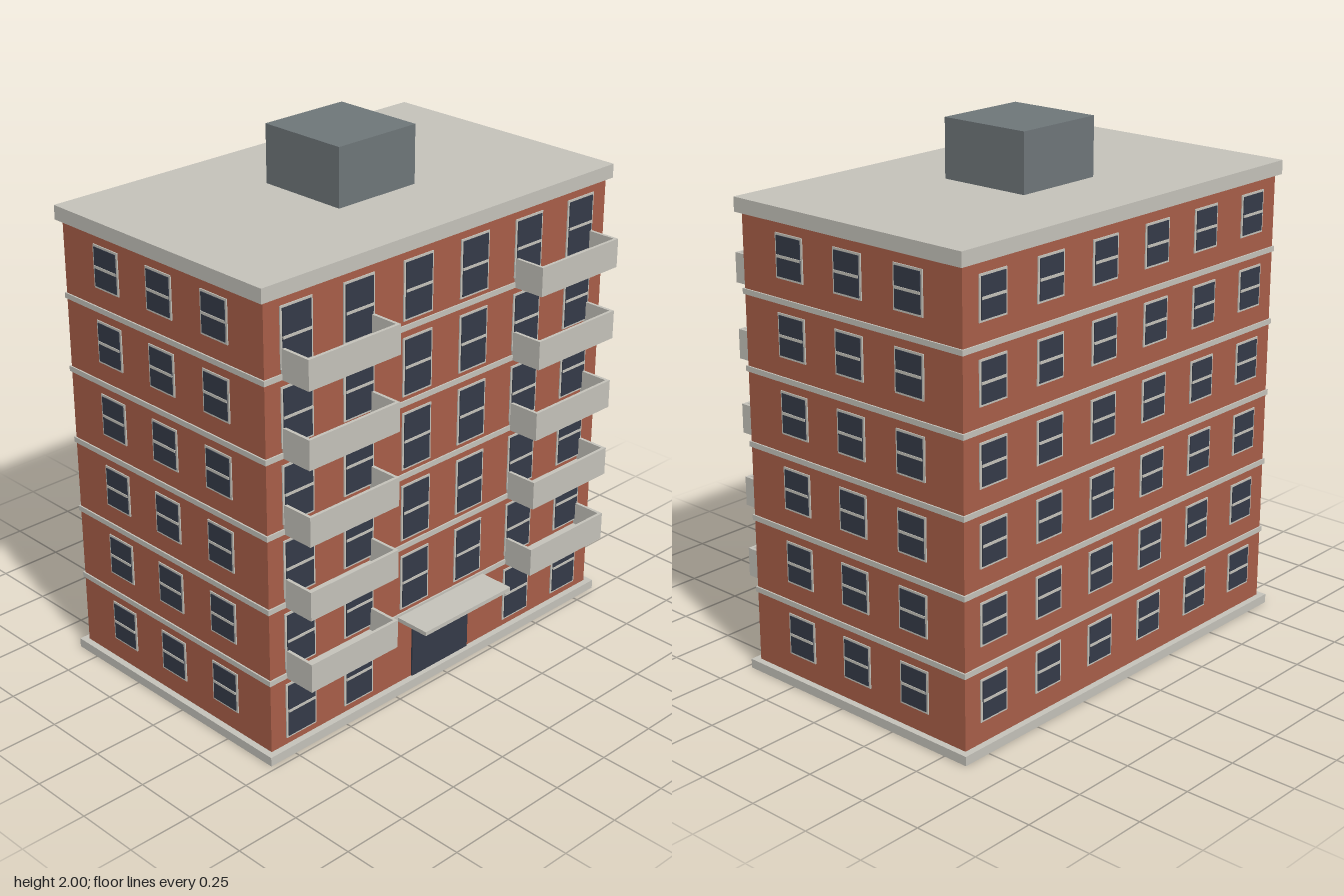
import * as THREE from 'three';

const mat = (name, color) => {
  const m = new THREE.MeshStandardMaterial({ color });
  m.name = name;
  return m;
};

export function createModel() {
  const brick = mat('brick', 0xa85e48);
  const stone = mat('stone', 0xc4c2ba);
  const glass = mat('dark glass', 0x343a48);
  const metal = mat('roof grey', 0x6e7679);

  const building = new THREE.Group();
  building.name = 'apartmentBlock';

  // box given by its lower and upper corners
  const box = (parent, name, material, [x0, y0, z0], [x1, y1, z1]) => {
    const mesh = new THREE.Mesh(new THREE.BoxGeometry(x1 - x0, y1 - y0, z1 - z0), material);
    mesh.position.set((x0 + x1) / 2, (y0 + y1) / 2, (z0 + z1) / 2);
    mesh.name = name;
    parent.add(mesh);
    return mesh;
  };

  const W = 0.84, FRONT = 0.455, BACK = -0.575, MID = -0.06;
  const BASE = 0.035, FLOOR = 0.282, FLOORS = 6, TOP = BASE + FLOOR * FLOORS;

  // main masses
  box(building, 'plinth', stone, [-0.865, 0, -0.6], [0.865, BASE, 0.48]);
  box(building, 'walls', brick, [-W, BASE, BACK], [W, TOP, FRONT]);
  box(building, 'roofSlab', stone, [-0.86, TOP, -0.592], [0.86, 1.78, 0.472]);
  box(building, 'roofHousing', metal, [-0.185, 1.78, -0.25], [0.185, 2, 0.12]);

  // string courses between floors
  for (let i = 1; i < FLOORS; i++) {
    const y = BASE + FLOOR * i;
    box(building, 'floorBand', stone, [-W - 0.006, y - 0.01, BACK - 0.006], [W + 0.006, y + 0.01, FRONT + 0.006]);
  }

  // window facing +z: frame, pane and cross bar, turned to suit its wall
  const addWindow = (x, y, z, turn, w, h) => {
    const g = new THREE.Group();
    g.name = 'window';
    box(g, 'windowFrame', stone, [-w / 2, -h / 2, -0.004], [w / 2, h / 2, 0.004]);
    box(g, 'windowPane', glass, [-w / 2 + 0.008, -h / 2 + 0.008, 0], [w / 2 - 0.008, h / 2 - 0.008, 0.007]);
    box(g, 'windowBar', stone, [-w / 2 + 0.008, -0.005, 0], [w / 2 - 0.008, 0.005, 0.0095]);
    g.position.set(x, y, z);
    g.rotation.y = turn;
    building.add(g);
  };

  for (let f = 0; f < FLOORS; f++) {
    const y0 = BASE + FLOOR * f;
    for (let c = 0; c < 6; c++) {
      const x = -0.7 + 0.28 * c;
      const isDoorBay = f === 0 && (c === 2 || c === 3);
      if (!isDoorBay) addWindow(x, y0 + 0.136, FRONT, 0, 0.142, 0.22);
      addWindow(x, y0 + 0.16, BACK, Math.PI, 0.132, 0.16);
    }
    for (const z of [MID - 0.28, MID, MID + 0.28]) {
      for (const s of [-1, 1]) addWindow(s * W, y0 + 0.16, z, s * Math.PI / 2, 0.132, 0.16);
    }
  }

  // entrance
  box(building, 'entranceDoor', glass, [-0.148, BASE, FRONT - 0.002], [0.148, 0.283, FRONT + 0.006]);
  box(building, 'entranceCanopy', stone, [-0.225, 0.302, FRONT], [0.225, 0.318, 0.6]);

  // open balconies: slab, front parapet and two side parapets
  for (let f = 1; f < FLOORS; f++) {
    for (const s of [-1, 1]) {
      const g = new THREE.Group();
      g.name = 'balcony';
      const hw = 0.207, t = 0.012, h = 0.11, z1 = 0.585;
      box(g, 'balconySlab', stone, [-hw, 0, FRONT], [hw, 0.02, z1]);
      box(g, 'balconyFront', stone, [-hw, 0.02, z1 - t], [hw, h, z1]);
      box(g, 'balconySideRight', stone, [-hw, 0.02, FRONT], [-hw + t, h, z1 - t]);
      box(g, 'balconySideLeft', stone, [hw - t, 0.02, FRONT], [hw, h, z1 - t]);
      g.position.set(s * 0.56, BASE + FLOOR * f - 0.01, 0);
      building.add(g);
    }
  }

  return building;
}
